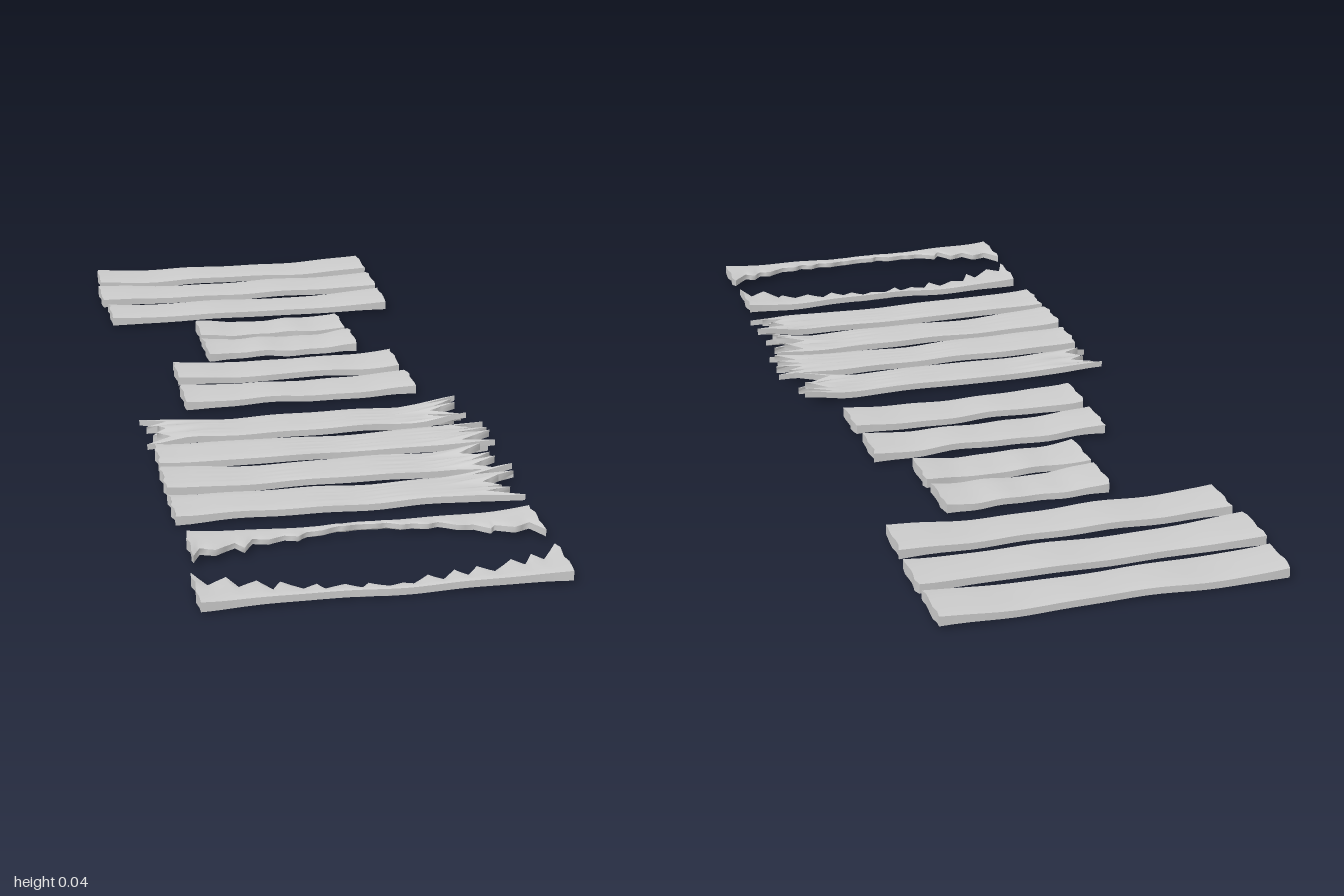
import * as THREE from 'three';

const material = new THREE.MeshStandardMaterial({ color: 0xcccccc, side: THREE.DoubleSide });
const { lerp, smoothstep } = THREE.MathUtils;
const WIDTH = 0.11;

// Repeatable scatter value from 0 to 1
function scatter(n) {
  const s = Math.sin(n * 127.1) * 43758.5453;
  return s - Math.floor(s);
}

// A ripped edge: tips on even points, notches on odd ones, unevenly spaced.
// Each point holds its place t along the edge, its length and its bend.
function makeTeeth(count, seed) {
  return Array.from({ length: count }, (_, i) => {
    const k = seed * 50 + i, end = i === 0 || i === count - 1, tip = i % 2 === 0;
    return {
      t: (i + (end ? 0 : (scatter(k) - 0.5) * 0.7)) / (count - 1),
      length: end ? 0.95 : tip ? lerp(0.5, 1, scatter(k + 0.3)) : 0.3 * scatter(k + 0.6),
      bend: tip ? scatter(k + 0.8) * 2 - 1 : 0,
    };
  });
}

// Linear interpolation along the teeth, s running from 0 to 1
function toothAt(teeth, s) {
  const f = s * (teeth.length - 1), i = Math.min(Math.floor(f), teeth.length - 2);
  const a = teeth[i], b = teeth[i + 1], k = f - i;
  return { t: lerp(a.t, b.t, k), length: lerp(a.length, b.length, k), bend: lerp(a.bend, b.bend, k) };
}

// One worn board, shaped from a subdivided box; deform(state) may break its ends or edges
function makePlank(name, [x0, x1, z], seed, nu, nv, deform) {
  const geometry = new THREE.BoxGeometry(1, 1, 1, nu, 2, nv);
  const p = geometry.attributes.position;
  const wave = (t, k) => 0.0022 * Math.sin(t * 11 + seed * 2.3 + k) + 0.0012 * Math.sin(t * 23 + seed * 4.1 + k * 2);
  for (let i = 0; i < p.count; i++) {
    const h = p.getY(i) * 2;
    const b = { u: p.getX(i) + 0.5, v: p.getZ(i) + 0.5, cutLeft: 0, cutRight: 0, cutBack: 0, cutFront: 0, lift: 0, thin: 1 };
    deform?.(b);
    // Long edges are slightly waisted and wavy
    const c = Math.abs(2 * b.u - 1), waist = 0.006 * (1 - c * c);
    const left = x0 + wave(b.v, 5) + b.cutLeft, right = x1 + wave(b.v, 7) - b.cutRight;
    const back = z - WIDTH / 2 + waist + wave(b.u, 0) + b.cutBack;
    const front = z + WIDTH / 2 - waist + wave(b.u, 3) - b.cutFront;
    // Flared ends, gently undulating faces and worn edges
    const flare = c ** 5, worn = 0.0025 * (2 * b.v - 1) ** 4;
    const half = (0.0095 + 0.003 * flare - worn) * b.thin;
    p.setXYZ(i, lerp(left, right, b.u),
      0.0305 + 0.004 * flare + wave(b.u, seed) * 0.7 + b.lift + h * half,
      lerp(back, front, b.v));
  }
  geometry.computeVertexNormals();
  const mesh = new THREE.Mesh(geometry, material);
  mesh.name = name;
  return mesh;
}

// Board snapped across one or both short ends, with splinters bent up and down
function makeSnappedPlank(size, seed, bothEnds) {
  const rightTeeth = makeTeeth(11, seed), leftTeeth = makeTeeth(11, seed + 20);
  return makePlank('snappedPlank', size, seed, 24, 20, (b) => {
    const r = toothAt(rightTeeth, b.v), l = toothAt(leftTeeth, b.v);
    const nearRight = smoothstep(b.u, 0.84, 1), nearLeft = bothEnds ? smoothstep(1 - b.u, 0.84, 1) : 0;
    b.cutRight = 0.09 * (1 - r.length);
    b.cutLeft = bothEnds ? 0.07 * (1 - l.length) : 0;
    b.lift = 0.015 * (r.bend * nearRight + l.bend * nearLeft);
    b.thin = 1 - 0.35 * (nearRight + nearLeft);
    b.v = lerp(r.t, l.t, bothEnds ? 1 - b.u : 0);
  });
}

// Board ripped along one long edge, worn thinnest in the middle
function makeTornPlank(size, seed, tornFront) {
  const teeth = makeTeeth(27, seed);
  return makePlank('tornPlank', size, seed, 52, 6, (b) => {
    const e = toothAt(teeth, b.u), c = Math.abs(2 * e.t - 1);
    const remaining = 0.02 + 0.055 * c * c + e.length * (0.015 + 0.035 * c);
    const w = tornFront ? b.v : 1 - b.v;
    b[tornFront ? 'cutFront' : 'cutBack'] = WIDTH - remaining;
    b.lift = 0.006 * Math.abs(e.bend) * w * w;
    b.thin = 1 - 0.25 * w;
    b.u = e.t;
  });
}

export function createModel() {
  const group = new THREE.Group();
  group.name = 'brokenPlankWalkway';

  // Whole boards: left end, right end, middle z
  const whole = {
    longPlank: [[-0.355, 0.338, -0.945], [-0.364, 0.338, -0.805], [-0.354, 0.334, -0.66]],
    shortPlank: [[-0.158, 0.192, -0.492], [-0.158, 0.198, -0.365]],
    mediumPlank: [[-0.25, 0.265, -0.207], [-0.253, 0.27, -0.06]],
  };
  let seed = 1;
  for (const [name, sizes] of Object.entries(whole))
    for (const size of sizes) group.add(makePlank(name, size, seed++, 24, 6));

  // Splintered boards, the first one at both ends
  const snapped = [[-0.37, 0.34, 0.146], [-0.354, 0.367, 0.284], [-0.358, 0.348, 0.418], [-0.358, 0.358, 0.557]];
  snapped.forEach((size, i) => group.add(makeSnappedPlank(size, seed++, i === 0)));

  // Two boards torn along facing edges
  group.add(makeTornPlank([-0.35, 0.337, 0.745], seed++, true));
  group.add(makeTornPlank([-0.364, 0.338, 0.943], seed, false));
  return group;
}
